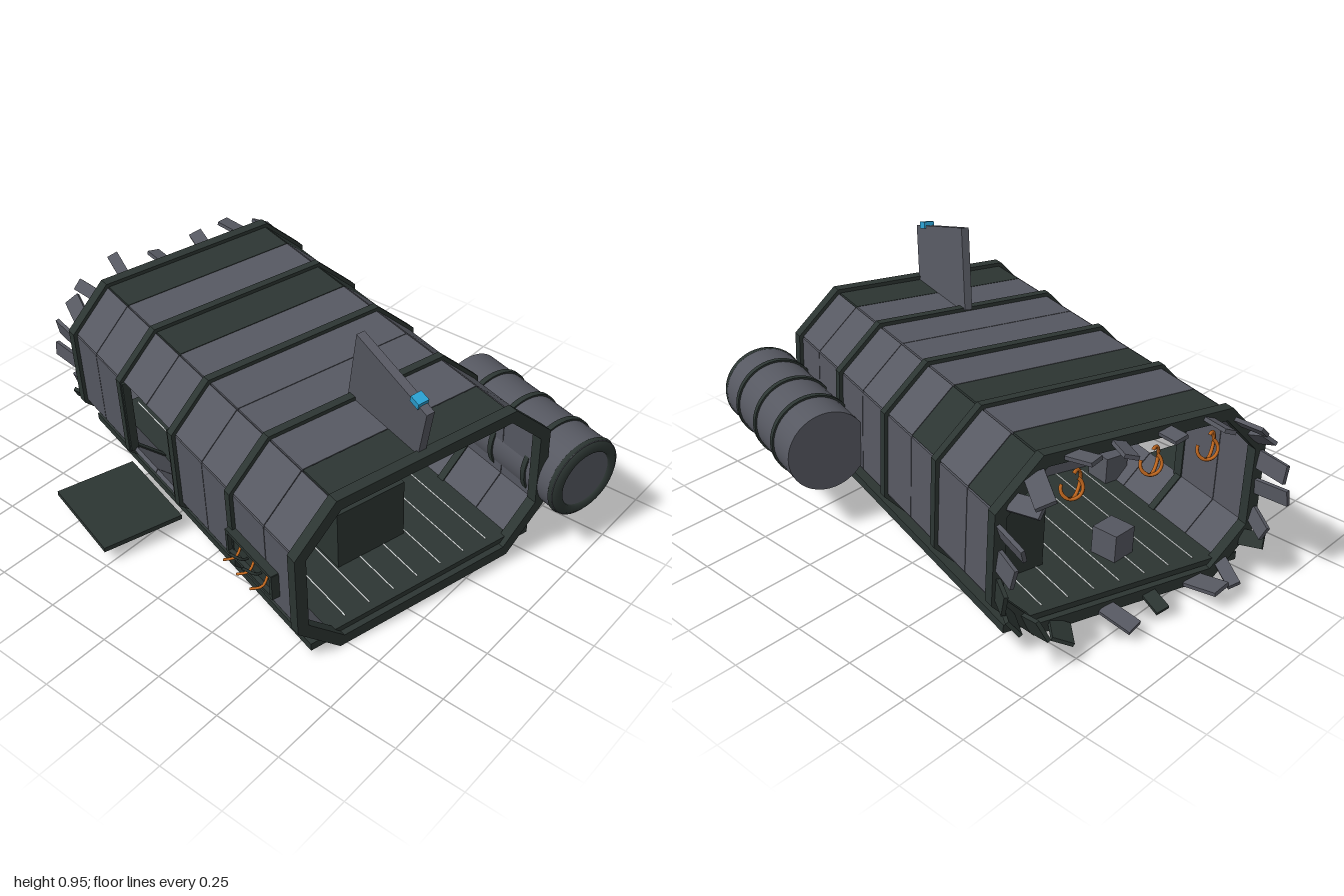
import * as THREE from 'three';

const mat = (name, color, extra = {}) => {
  const m = new THREE.MeshStandardMaterial({ color, ...extra });
  m.name = name;
  return m;
};

export function createModel() {
  const grey = mat('hull grey', 0x565861);
  const dark = mat('dark green', 0x2c3532);
  const pale = mat('pale seam', 0xd8dcdc);
  const orange = mat('orange cable', 0xc4691f);
  const blue = mat('blue lamp', 0x2a9fd0);

  const root = new THREE.Group();
  root.name = 'wreckedHullSection';
  const lean = new THREE.Group();      // slight sideways list
  lean.name = 'leaningHull';
  lean.rotation.z = 0.058;
  const hull = new THREE.Group();      // hull axis along its own z
  hull.name = 'hull';
  hull.rotation.y = -0.28;
  hull.position.set(0.04, 0, -0.015);
  lean.add(hull);
  root.add(lean);

  const add = (name, geo, m, x = 0, y = 0, z = 0, rx = 0, ry = 0, rz = 0, parent = hull) => {
    const mesh = new THREE.Mesh(geo, m);
    mesh.name = name;
    mesh.position.set(x, y, z);
    mesh.rotation.set(rx, ry, rz);
    parent.add(mesh);
    return mesh;
  };
  const box = (name, m, w, h, d, ...at) => add(name, new THREE.BoxGeometry(w, h, d), m, ...at);

  // Octagonal cross-section, inset by t
  const CY = 0.355, HALF = 0.745, BAY = 0.3725;
  const octagon = (t) => {
    const w = 0.515 - t, h = 0.32 - t, c = 0.16 - t * 0.586;
    return [[w, -h + c], [w, h - c], [w - c, h], [-w + c, h],
      [-w, h - c], [-w, -h + c], [-w + c, -h], [w - c, -h]].map(([x, y]) => new THREE.Vector2(x, y));
  };
  const extrude = (outer, hole, depth) => {
    const s = new THREE.Shape(outer);
    if (hole) s.holes.push(new THREE.Path(hole));
    return new THREE.ExtrudeGeometry(s, { depth, bevelEnabled: false }).translate(0, 0, -depth / 2);
  };

  // Five ring frames
  for (let i = 0; i < 5; i++) {
    const end = i === 0 || i === 4;
    add('ringFrame', extrude(octagon(0), octagon(end ? 0.042 : 0.035), end ? 0.04 : 0.03), dark,
      0, CY, HALF - 0.015 - i * (HALF - 0.015) / 2);
  }

  // Skin panels, two per bay on each of eight sides; side 4 is the left wall
  const corners = octagon(0.022);
  const darkPanels = ['0:2', '5:2', '7:2', '5:1', '7:1'];
  for (let row = 0; row < 8; row++) {
    const z = HALF - (row + 0.5) * BAY / 2;
    for (let side = 0; side < 8; side++) {
      if (side === 4 && (row === 4 || row === 5)) continue;   // doorway
      const a = corners[side], b = corners[(side + 1) % 8];
      const rz = Math.atan2(b.y - a.y, b.x - a.x);
      const m = darkPanels.includes(row + ':' + side) ? dark : grey;
      box('skinPanel', m, a.distanceTo(b), 0.016, BAY / 2 - 0.003,
        (a.x + b.x) / 2, CY + (a.y + b.y) / 2, z, 0, 0, rz);
    }
  }

  // Bulkhead, floor with seams, and lower side rails
  add('bulkhead', extrude(octagon(0.03), null, 0.02), grey, 0, CY, 0.01);
  box('floor', dark, 0.78, 0.02, 1.46, 0, 0.09, 0);
  for (let i = -3; i <= 3; i++) box('floorSeam', pale, 0.004, 0.002, 1.4, i * 0.1, 0.101, 0);
  for (const s of [-1, 1]) box('lowerRail', dark, 0.07, 0.03, 1.47, s * 0.425, 0.085, 0);

  // Fold-down door ramp with dark jambs
  box('ramp', dark, 0.31, 0.018, 0.365, -0.645, 0.1, -0.215, 0, 0, -0.05);
  for (const z of [-0.02, -0.35]) box('doorJamb', dark, 0.03, 0.31, 0.02, -0.495, CY, z);

  // Cargo inside
  box('console', dark, 0.28, 0.24, 0.3, -0.05, 0.22, 0.36);
  box('rearConsole', dark, 0.2, 0.28, 0.18, 0.28, 0.24, -0.42, 0, 0.1, 0);
  box('crate', grey, 0.1, 0.1, 0.1, -0.08, 0.15, -0.54, 0, 0.3, 0);
  box('crate', grey, 0.1, 0.1, 0.1, -0.37, 0.15, -0.09, 0, 0.1, 0);

  // Side tank: lathe body with dark end rims and bands
  const tank = new THREE.Group();
  tank.name = 'sideTank';
  tank.position.set(0.625, 0.296, 0.513);
  tank.rotation.x = Math.PI / 2;
  hull.add(tank);
  const L = 0.318;
  add('tankBody', new THREE.CylinderGeometry(0.15, 0.15, 2 * L - 0.02, 40), grey, 0, 0, 0, 0, 0, 0, tank);
  const rim = [[0.108, L - 0.012], [0.11, L], [0.135, L], [0.15, L - 0.012], [0.154, L - 0.025], [0.15, L - 0.03]]
    .map(([x, y]) => new THREE.Vector2(x, y)).reverse();
  const rimMat = mat('dark green rim', 0x2c3532, { side: THREE.DoubleSide });
  add('tankRim', new THREE.LatheGeometry(rim, 40), rimMat, 0, 0, 0, 0, 0, 0, tank);
  for (const y of [0.167, -0.003, -0.168]) {
    add('tankBand', new THREE.CylinderGeometry(0.157, 0.157, 0.02, 40), dark, 0, y, 0, 0, 0, 0, tank);
  }

  // Torn fin through the roof with a lamp on its upper front corner
  const fin = new THREE.Group();
  fin.name = 'roofFin';
  fin.position.set(-0.01, 0.765, 0.555);
  fin.rotation.set(0.27, 0, 0.07);
  hull.add(fin);
  box('finPlate', grey, 0.03, 0.3, 0.365, 0, 0, 0, 0, 0, 0, fin);
  box('finLamp', blue, 0.04, 0.025, 0.04, 0, 0.152, 0.125, 0, 0, 0, fin);

  // Open service hatch in the left wall, framed on both faces
  const hatch = new THREE.Group();
  hatch.name = 'serviceHatch';
  hatch.position.set(-0.5, 0.31, 0.495);
  hull.add(hatch);
  for (const s of [-1, 1]) {
    box('hatchFrame', dark, 0.06, 0.014, 0.27, 0, s * 0.045, 0, 0, 0, 0, hatch);
    box('hatchFrame', dark, 0.06, 0.1, 0.014, 0, 0, s * 0.13, 0, 0, 0, hatch);
  }
  box('hatchBack', dark, 0.026, 0.08, 0.25, 0, 0, 0, 0, 0, 0, hatch);
  for (let i = 0; i < 5; i++) {
    const z = -0.08 + i * 0.04, k = i % 2 ? 1 : -1;
    const path = new THREE.CatmullRomCurve3([new THREE.Vector3(0, -0.02 * k, z),
      new THREE.Vector3(-0.04, 0.01 * k, z + 0.02), new THREE.Vector3(-0.07, 0.03 * k, z - 0.01)]);
    add('looseWire', new THREE.TubeGeometry(path, 8, 0.005, 6), i % 2 ? dark : orange, 0, 0, 0, 0, 0, 0, hatch);
  }

  // Cable loops hanging at the torn rear edge
  for (const [x, y] of [[-0.26, 0.57], [-0.04, 0.57], [0.25, 0.56]]) {
    for (let k = 0; k < 2; k++) {
      add('cableLoop', new THREE.TorusGeometry(0.045 - k * 0.01, 0.006, 6, 20, 4.6), orange,
        x + k * 0.02, y, -0.765 - k * 0.015, 0.3 * k, 0.6 - k * 0.9, 1.2 + k);
    }
  }

  // Jagged shards splayed around the torn rear rim
  let seed = 7;
  const rnd = () => (seed = (seed * 16807) % 2147483647) / 2147483647;
  const rear = octagon(0.02);
  for (let side = 0; side < 8; side++) {
    const a = rear[side], b = rear[(side + 1) % 8];
    const n = side === 2 || side === 6 ? 4 : side % 2 ? 2 : 3;
    for (let k = 0; k < n; k++) {
      const p = a.clone().lerp(b, (k + 0.5) / n);
      const holder = new THREE.Group();
      holder.name = 'tornShard';
      holder.position.set(p.x, CY + p.y, -0.745);
      holder.rotation.z = Math.atan2(b.y - a.y, b.x - a.x);
      hull.add(holder);
      const len = 0.08 + rnd() * 0.06;
      const shard = new THREE.BoxGeometry(0.04 + rnd() * 0.04, 0.014, len).translate(0, 0, -len / 2);
      add('shardPlate', shard, rnd() < 0.3 ? dark : grey, 0, 0, 0,
        -0.35 + rnd() * 0.6, (rnd() - 0.5) * 0.9, (rnd() - 0.5) * 0.8, holder);
    }
  }

  // Centre on the ground
  root.updateMatrixWorld(true);
  const bounds = new THREE.Box3().setFromObject(root, true);
  const c = bounds.getCenter(new THREE.Vector3());
  lean.position.set(-c.x, -bounds.min.y, -c.z);
  return root;
}
